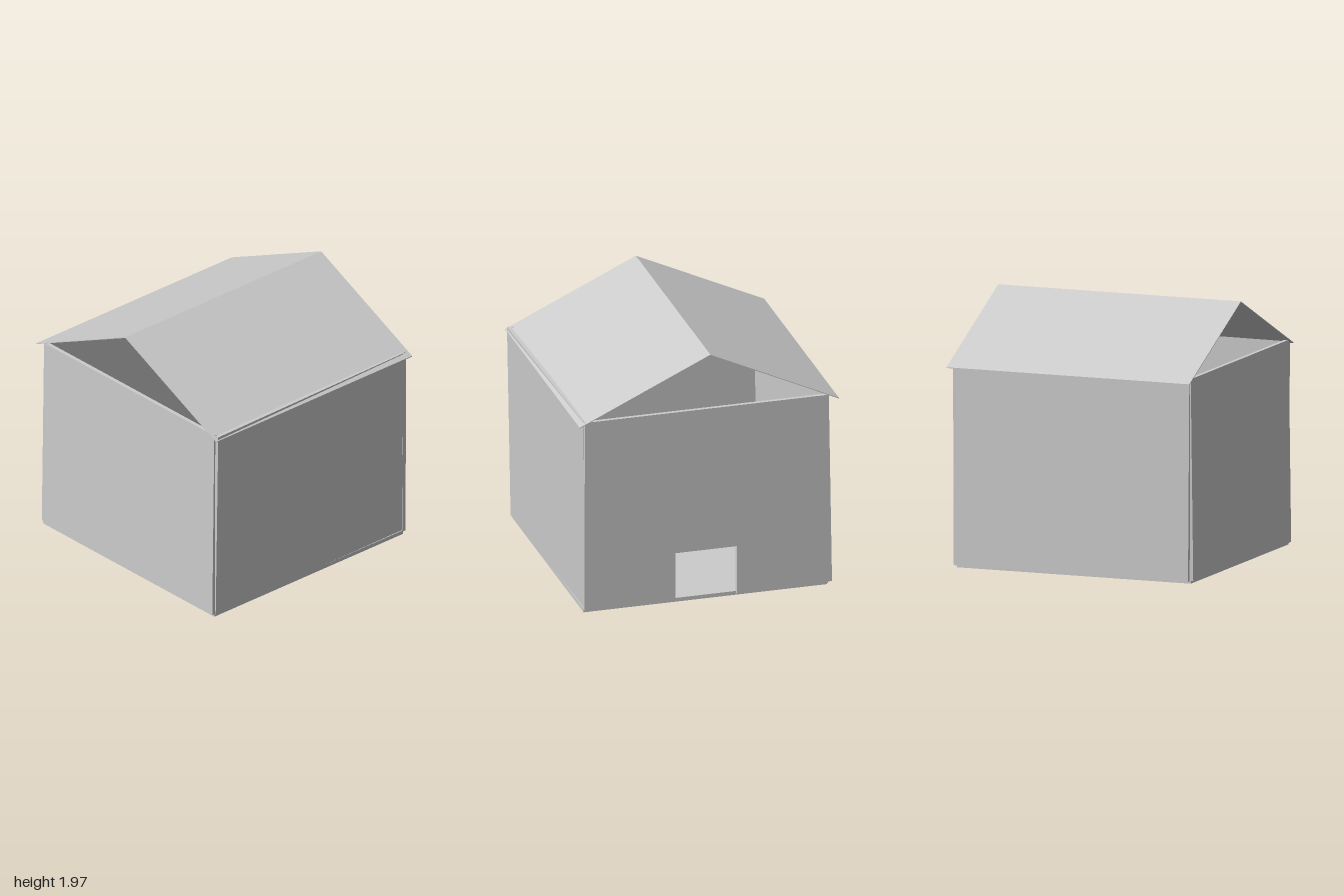
import * as THREE from 'three';

export function createModel() {
  const house = new THREE.Group();
  const mat = new THREE.MeshStandardMaterial({ color: 0xcccccc, flatShading: true, side: THREE.DoubleSide });

  const add = (name, geo) => {
    const mesh = new THREE.Mesh(geo, mat);
    mesh.name = name;
    house.add(mesh);
    return mesh;
  };

  // Box given by its limits on each axis
  const block = (x0, x1, y0, y1, z0, z1) =>
    new THREE.BoxGeometry(x1 - x0, y1 - y0, z1 - z0)
      .translate((x0 + x1) / 2, (y0 + y1) / 2, (z0 + z1) / 2);

  // Shift vertices by a rule so that the panels lean and twist slightly
  const warp = (geo, rule) => {
    const p = geo.attributes.position;
    for (let i = 0; i < p.count; i++) {
      const [dx, dz] = rule(p.getX(i), p.getY(i), p.getZ(i));
      p.setX(i, p.getX(i) + dx);
      p.setZ(i, p.getZ(i) + dz);
    }
    geo.computeVertexNormals();
    return geo;
  };

  const low = 0.02, high = 1.53;
  const rise = y => (y - low) / (high - low);

  // Floor slab
  add('floor', block(-0.95, 0.92, 0, 0.03, -0.92, 0.95));

  // Front wall leans outwards and turns a little away at its left end
  add('frontWall', warp(block(-0.945, 0.92, low, high, 0.93, 0.96),
    (x, y) => [0, 0.028 * rise(y) * (1 - 0.5 * (x + 0.945) / 1.865) - 0.018 * (x + 0.945) / 1.865]));

  // Back wall leans inwards
  add('backWall', warp(block(-0.945, 0.92, low, high, -0.96, -0.93),
    (x, y) => [0, 0.025 * rise(y)]));

  // Right wall leans inwards
  add('rightWall', warp(block(-0.97, -0.94, low, high, -0.92, 0.95),
    (x, y) => [0.02 * rise(y), 0]));

  // Left wall with the doorway cut out of its lower edge
  const outline = new THREE.Shape([
    [-0.95, low], [-0.25, low], [-0.25, 0.4], [0.22, 0.4], [0.22, low],
    [0.92, low], [0.92, high], [-0.95, high],
  ].map(([x, y]) => new THREE.Vector2(x, y)));
  const doorWall = new THREE.ExtrudeGeometry(outline, { depth: 0.03, bevelEnabled: false });
  doorWall.rotateY(Math.PI / 2).translate(0.915, 0, 0);
  add('leftWallWithDoorway', warp(doorWall, (x, y) => [0.005 * rise(y), 0]));

  // Two thin roof sheets meeting at the ridge, open at the gables
  const ridgeZ = -0.01, ridgeY = 1.97, eaveY = 1.505, t = 0.006;
  for (const [name, eaveZ] of [['frontRoof', 0.995], ['backRoof', -0.998]]) {
    const section = new THREE.Shape([
      [-ridgeZ, ridgeY], [-eaveZ, eaveY], [-eaveZ, eaveY - t], [-ridgeZ, ridgeY - t],
    ].map(([x, y]) => new THREE.Vector2(x, y)));
    const sheet = new THREE.ExtrudeGeometry(section, { depth: 1.94, bevelEnabled: false });
    add(name, sheet.rotateY(Math.PI / 2).translate(-0.97, 0, 0));
  }

  // Low furnishings inside, facing the doorway
  add('innerBlockFront', block(-0.75, -0.45, 0.03, 0.14, 0.15, 0.5));
  add('innerBlockBack', block(-0.75, -0.45, 0.03, 0.14, -0.5, -0.16));
  add('innerPost', block(-0.62, -0.595, 0.03, 0.18, -0.045, -0.02));

  return house;
}
